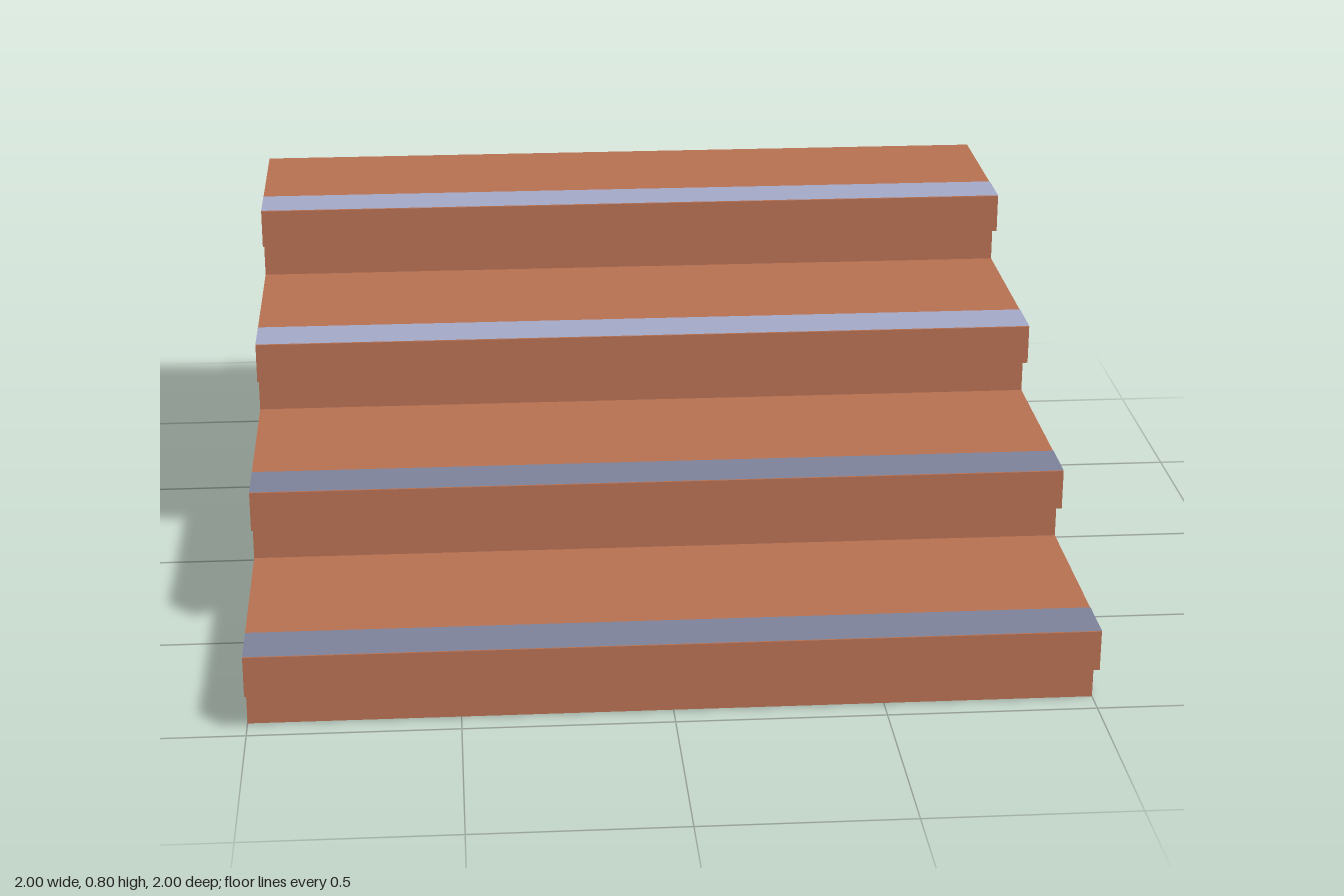
import * as THREE from 'three';

const STEPS = 4, WIDTH = 2, RISE = 0.2, RUN = 0.5, INSET = 0.0625, STRIP = 0.13;

function material(name, color) {
  const m = new THREE.MeshStandardMaterial({ color });
  m.name = name;
  return m;
}

export function createModel() {
  const group = new THREE.Group();
  group.name = 'staircase';
  const clay = material('terracotta', 0xba7253);
  const light = material('light blue grey', 0xa5aaca);
  const dark = material('dark blue grey', 0x7f849b);

  // Side profile (z across, y up): each step has an overhanging nosing
  const profile = new THREE.Shape();
  profile.moveTo(-1, 0);
  for (let i = 0; i < STEPS; i++) {
    const z = 1 - i * RUN, y = i * RISE;
    profile.lineTo(z - INSET, y);
    profile.lineTo(z - INSET, y + RISE / 2);
    profile.lineTo(z, y + RISE / 2);
    profile.lineTo(z, y + RISE);
  }
  profile.lineTo(-1, STEPS * RISE);
  profile.closePath();

  const body = new THREE.ExtrudeGeometry(profile, { depth: WIDTH, bevelEnabled: false });
  body.rotateY(-Math.PI / 2).translate(WIDTH / 2, 0, 0);
  const steps = new THREE.Mesh(body, clay);
  steps.name = 'steps';
  group.add(steps);

  // Coloured strip along the front edge of every tread
  const stripGeometry = new THREE.PlaneGeometry(WIDTH, STRIP).rotateX(-Math.PI / 2);
  for (let i = 0; i < STEPS; i++) {
    const strip = new THREE.Mesh(stripGeometry, i < 2 ? dark : light);
    strip.name = `edgeStrip${i + 1}`;
    strip.position.set(0, (i + 1) * RISE + 0.002, 1 - i * RUN - STRIP / 2);
    group.add(strip);
  }
  return group;
}
